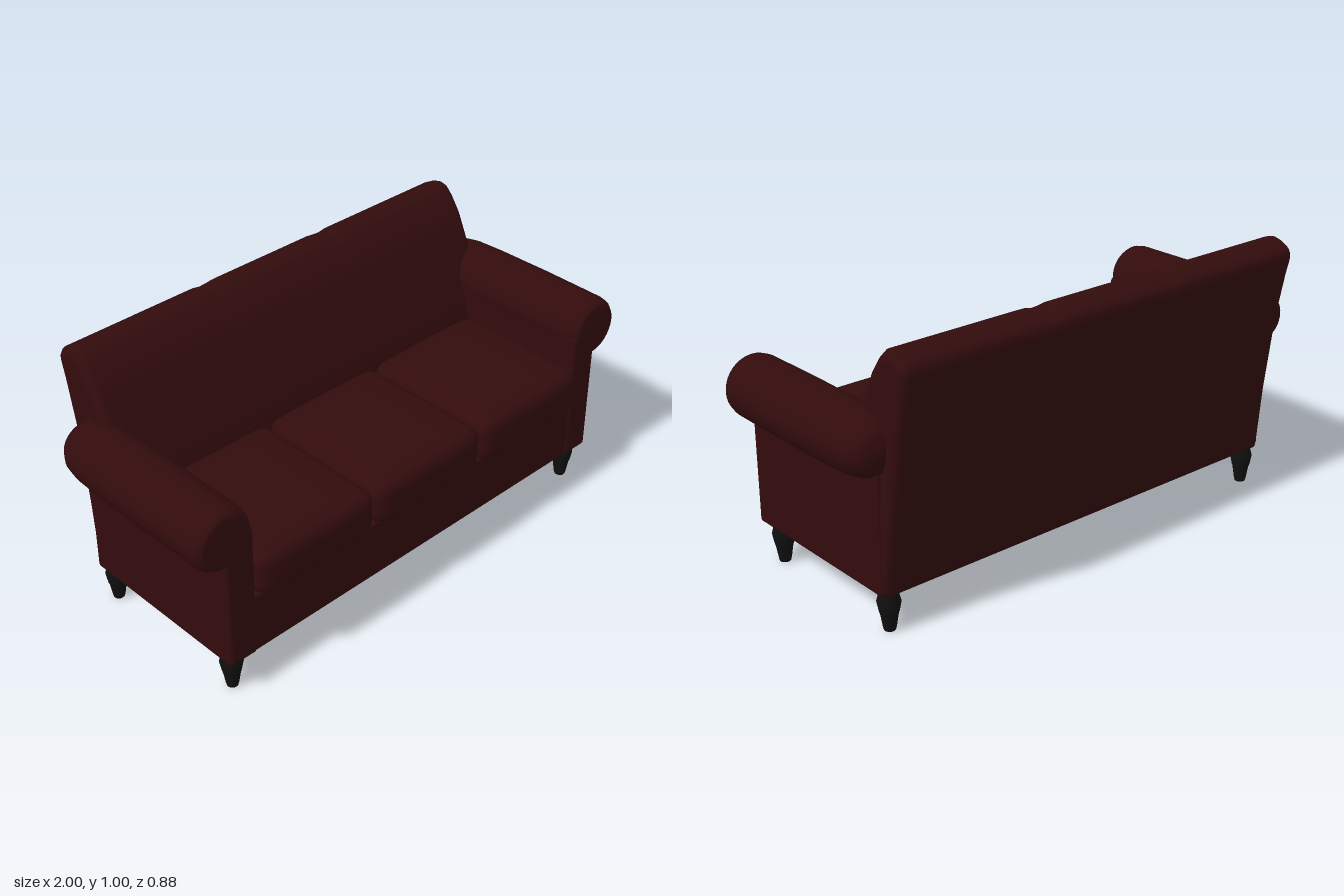
import * as THREE from 'three';
import { mergeVertices } from 'three/addons/utils/BufferGeometryUtils.js';
import { RoundedBoxGeometry } from 'three/addons/geometries/RoundedBoxGeometry.js';

const leather = new THREE.MeshStandardMaterial({ color: 0x330c0d });
leather.name = 'dark red leather';
const wood = new THREE.MeshStandardMaterial({ color: 0x101010 });
wood.name = 'black wood';

function add(parent, name, geometry, material, x = 0, y = 0, z = 0) {
  const mesh = new THREE.Mesh(geometry, material);
  mesh.name = name;
  mesh.position.set(x, y, z);
  parent.add(mesh);
  return mesh;
}

// Box with rounded edges and a gently crowned top and front
function cushionGeometry(w, h, d, r) {
  let g = new THREE.BoxGeometry(w, h, d, 28, 12, 28);
  g.deleteAttribute('uv');
  g.deleteAttribute('normal');
  g = mergeVertices(g);
  const p = g.attributes.position;
  const v = new THREE.Vector3(), inner = new THREE.Vector3();
  const half = new THREE.Vector3(w / 2 - r, h / 2 - r, d / 2 - r);
  for (let i = 0; i < p.count; i++) {
    v.fromBufferAttribute(p, i);
    inner.copy(v).clamp(half.clone().negate(), half);
    v.sub(inner);
    if (v.lengthSq() > 0) v.setLength(Math.min(r, Math.max(Math.abs(v.x), Math.abs(v.y), Math.abs(v.z))));
    v.add(inner);
    const u = 1 - (2 * v.x / w) ** 4, s = 1 - (2 * v.z / d) ** 4;
    if (v.y > 0) v.y += 0.025 * u * s * (2 * v.y / h);
    if (v.z > 0) v.z += 0.012 * u * (2 * v.z / d);
    p.setXYZ(i, v.x, v.y, v.z);
  }
  g.computeVertexNormals();
  return g;
}

// Leaning backrest: a side profile (z, y) swept across x with rounded ends
function backGeometry() {
  const profile = [
    [-0.30, 0.135], [-0.315, 0.145], [-0.32, 0.17], [-0.345, 0.4], [-0.375, 0.6], [-0.39, 0.7],
    [-0.425, 0.87], [-0.439, 0.925], [-0.44, 0.95], [-0.428, 0.972], [-0.39, 0.993], [-0.36, 1.0],
    [-0.33, 0.992], [-0.3, 0.962], [-0.26, 0.905], [-0.225, 0.83], [-0.2, 0.77],
    [-0.14, 0.62], [-0.1, 0.48], [-0.1, 0.3], [-0.1, 0.15], [-0.11, 0.135],
  ];
  const n = profile.length;
  const normals = profile.map((_, i) => {
    const a = profile[(i + n - 1) % n], b = profile[(i + 1) % n];
    const dz = b[0] - a[0], dy = b[1] - a[1], l = Math.hypot(dz, dy);
    return [-dy / l, dz / l];
  });
  const r = 0.035, stations = [];
  for (let i = 0; i <= 6; i++) {
    const a = (i / 6) * Math.PI / 2;
    stations.push([-1 + r * (1 - Math.sin(a)) - r + r * 1, r * (1 - Math.sin(a))]);
    stations[i][0] = -1 + r * (1 - Math.cos(a));
  }
  for (let i = 1; i < 60; i++) stations.push([(-1 + r) * (1 - i / 30), 0]);
  for (let i = 6; i >= 0; i--) stations.push([-stations[i][0], stations[i][1]]);
  const pos = [], index = [];
  for (const [t, inset] of stations) {
    profile.forEach(([z, y], i) => {
      const width = 0.888 - 0.016 * Math.min(1, (y - 0.135) / 0.6);
      const x = t * width;
      const seam = Math.exp(-(((Math.abs(x) - 0.27) / 0.025) ** 2));
      const dip = y > 0.9 ? 0.009 * seam * (y - 0.9) * 10 : 0;
      const outward = normals[i];
      pos.push(x, y - outward[1] * inset - dip, z - outward[0] * inset);
    });
  }
  const rows = stations.length;
  for (let s = 0; s < rows - 1; s++) {
    for (let i = 0; i < n; i++) {
      const a = s * n + i, b = s * n + (i + 1) % n;
      index.push(a, a + n, b, b, a + n, b + n);
    }
  }
  // End caps
  const c = pos.length / 3;
  pos.push(-0.876, 0.5, -0.25, 0.876, 0.5, -0.25);
  const last = (rows - 1) * n;
  for (let i = 0; i < n; i++) {
    const j = (i + 1) % n;
    index.push(c, i, j, c + 1, last + j, last + i);
  }
  // Make sure the faces point outward whatever the profile direction
  const g = new THREE.BufferGeometry();
  g.setAttribute('position', new THREE.Float32BufferAttribute(pos, 3));
  let volume = 0;
  const A = new THREE.Vector3(), B = new THREE.Vector3(), C = new THREE.Vector3();
  for (let i = 0; i < index.length; i += 3) {
    A.fromArray(pos, index[i] * 3);
    B.fromArray(pos, index[i + 1] * 3);
    C.fromArray(pos, index[i + 2] * 3);
    volume += A.dot(B.cross(C));
  }
  g.setIndex(volume < 0 ? index.reverse() : index);
  g.computeVertexNormals();
  return g;
}

const lathe = (points, sides) =>
  new THREE.LatheGeometry(points.map(([r, y]) => new THREE.Vector2(r, y)), sides);

export function createModel() {
  const sofa = new THREE.Group();
  sofa.name = 'sofa';

  add(sofa, 'backrest', backGeometry(), leather);
  add(sofa, 'seatBase', new RoundedBoxGeometry(1.64, 0.235, 0.68, 3, 0.012), leather, 0, 0.2625, 0.057);

  // Three seat cushions
  const cushion = cushionGeometry(0.515, 0.165, 0.56, 0.045);
  for (const i of [-1, 0, 1]) add(sofa, 'seatCushion', cushion, leather, i * 0.519, 0.46, 0.148);

  // Rolled arms with upright panels
  const roll = lathe([
    [0, -0.342], [0.045, -0.337], [0.08, -0.318], [0.1, -0.285], [0.11, -0.23], [0.114, -0.12],
    [0.116, 0.1], [0.114, 0.36], [0.109, 0.385], [0.097, 0.4], [0.085, 0.404], [0, 0.404],
  ], 40);
  roll.rotateX(Math.PI / 2);
  const panel = new RoundedBoxGeometry(0.118, 0.52, 0.71, 3, 0.015);
  for (const side of [-1, 1]) {
    const arm = new THREE.Group();
    arm.name = side > 0 ? 'leftArm' : 'rightArm';
    add(arm, 'armRoll', roll, leather, side * 0.885, 0.664, 0);
    add(arm, 'armPanel', panel, leather, side * 0.832, 0.405, 0.047);
    sofa.add(arm);
  }

  // Turned legs
  const leg = lathe([
    [0, 0], [0.02, 0], [0.023, 0.012], [0.03, 0.055], [0.031, 0.062], [0.034, 0.068],
    [0.041, 0.105], [0.034, 0.132], [0.032, 0.16],
  ], 14);
  for (const x of [-0.838, 0.838]) {
    for (const z of [0.338, -0.275]) add(sofa, z > 0 ? 'frontLeg' : 'backLeg', leg, wood, x, 0, z);
  }
  return sofa;
}
